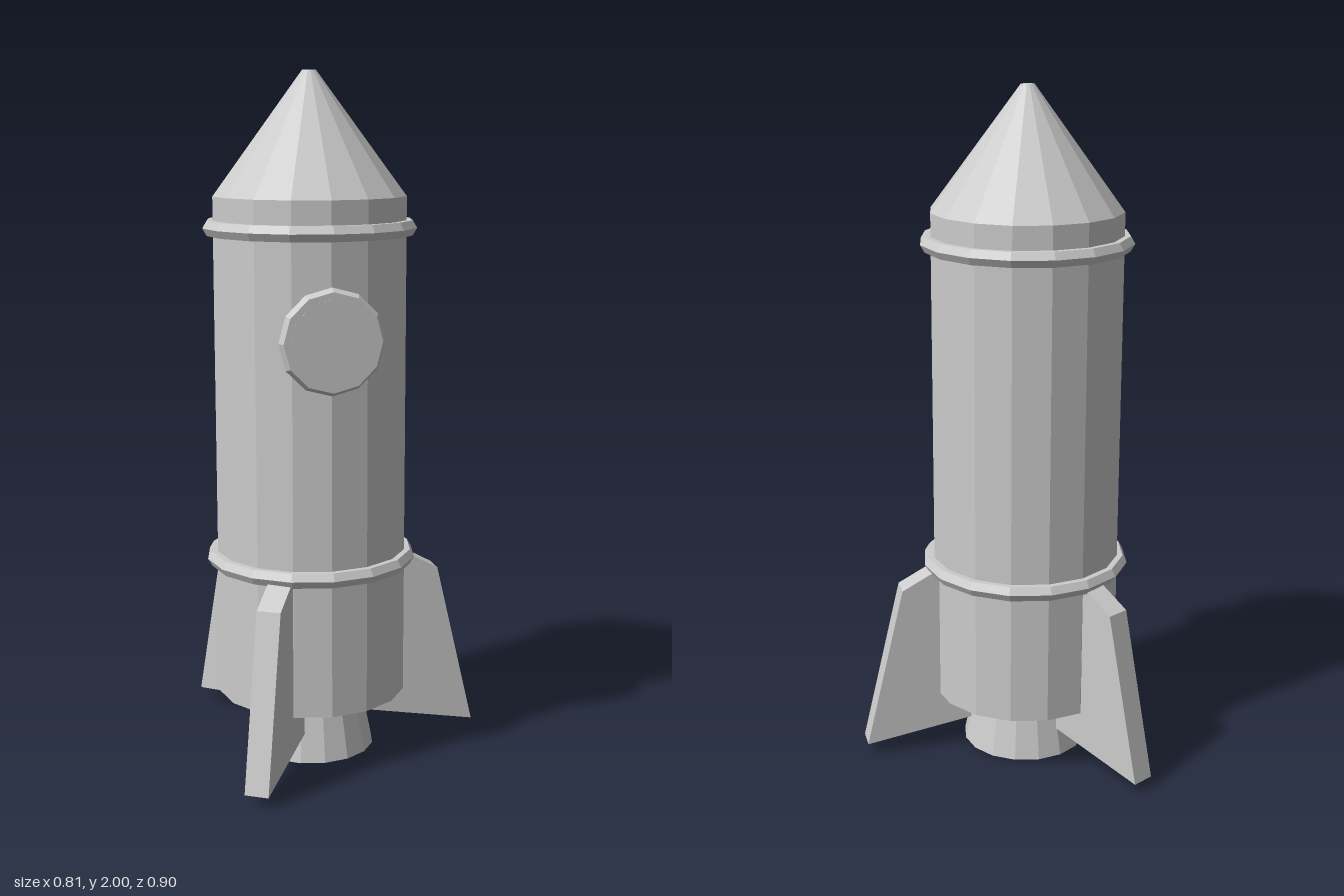
import * as THREE from 'three';

export function createModel() {
  const model = new THREE.Group();
  model.name = 'rocket';
  const grey = new THREE.MeshStandardMaterial({ color: 0xcccccc });
  grey.name = 'light grey';

  // everything is built around the hull axis, then shifted sideways
  const rocket = new THREE.Group();
  rocket.name = 'rocketAssembly';
  rocket.position.x = -0.095;
  model.add(rocket);

  // faceted look: each face keeps its own normal
  function add(name, geometry, x = 0, y = 0, z = 0) {
    const flat = geometry.index ? geometry.toNonIndexed() : geometry;
    flat.computeVertexNormals();
    const mesh = new THREE.Mesh(flat, grey);
    mesh.name = name;
    mesh.position.set(x, y, z);
    rocket.add(mesh);
    return mesh;
  }

  // upright tapered drum between two heights
  function drum(name, rTop, rBottom, y0, y1, sides = 16) {
    return add(name, new THREE.CylinderGeometry(rTop, rBottom, y1 - y0, sides), 0, (y0 + y1) / 2);
  }

  drum('hull', 0.28, 0.28, 0.18, 1.65);
  drum('noseCone', 0.02, 0.28, 1.65, 2);
  drum('nozzle', 0.15, 0.187, 0, 0.18);

  // hexagonal-section bands round the hull
  [['lowerBand', 0.593], ['upperBand', 1.561]].forEach(([name, y]) => {
    add(name, new THREE.TorusGeometry(0.285, 0.025, 6, 16).rotateX(Math.PI / 2), 0, y);
  });

  // porthole on the front
  add('portholeFrame', new THREE.TorusGeometry(0.128, 0.022, 6, 12), 0, 1.267, 0.286);
  add('portholeGlass', new THREE.CylinderGeometry(0.12, 0.12, 0.04, 12).rotateX(Math.PI / 2), 0, 1.267, 0.286);

  // three swept fins, the first pointing to +x
  const outline = [[0.176, 0.09], [0.5, 0.033], [0.385, 0.528], [0.28, 0.585], [0.176, 0.64]];
  const finShape = new THREE.Shape(outline.map(([r, y]) => new THREE.Vector2(r, y)));
  for (let i = 0; i < 3; i++) {
    const fin = new THREE.ExtrudeGeometry(finShape, { depth: 0.07, bevelEnabled: false });
    fin.translate(0, 0, -0.035);
    add('fin' + (i + 1), fin).rotation.y = (i * Math.PI * 2) / 3;
  }

  return model;
}
